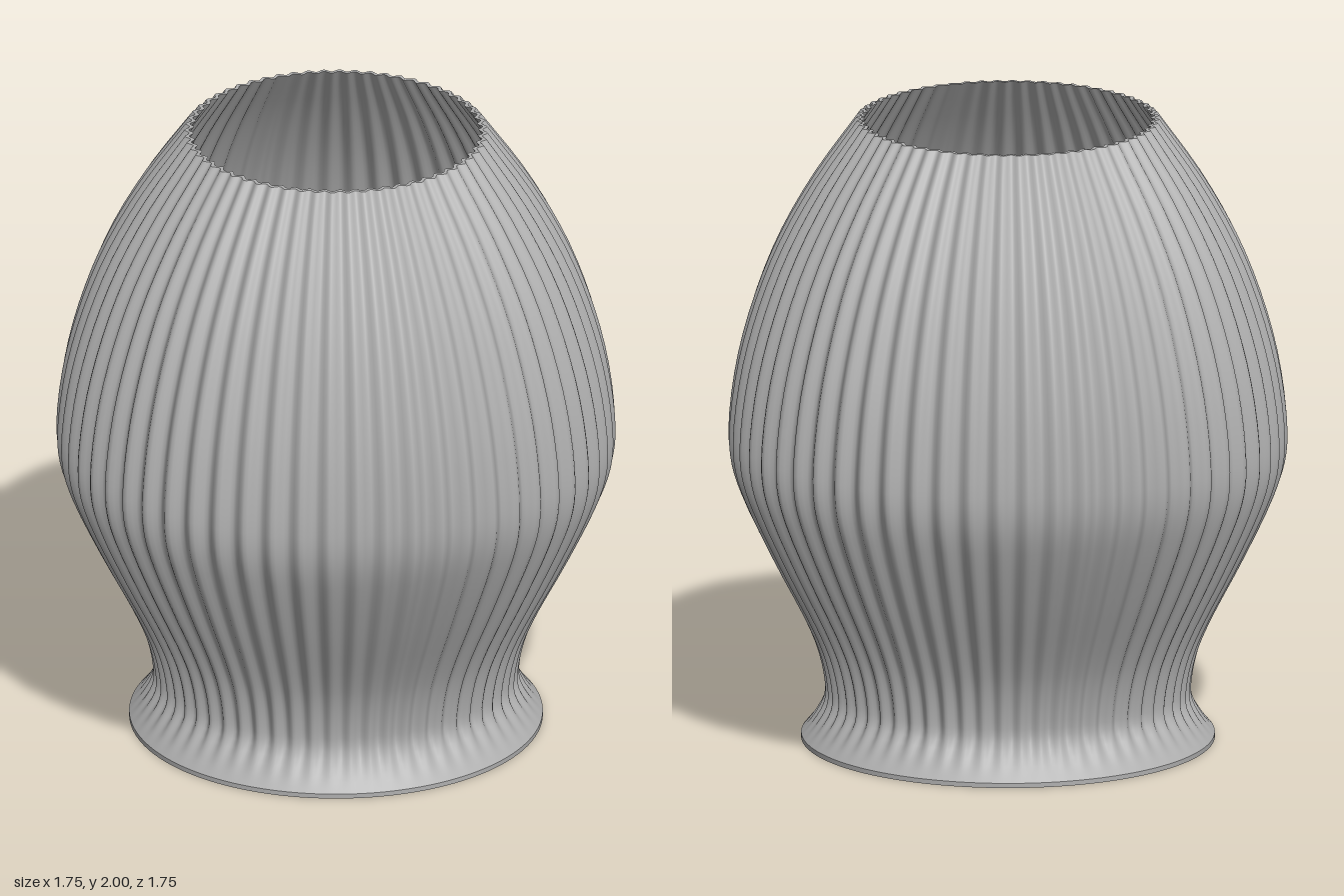
import * as THREE from 'three';

const RIBS = 60, PER_RIB = 8, SEG = RIBS * PER_RIB, ROWS = 44;

// Crest radius against height, from the flared foot to the open top
const OUTER = [[0.648, 0.015], [0.612, 0.06], [0.576, 0.13], [0.577, 0.2], [0.6, 0.3], [0.642, 0.4],
  [0.745, 0.6], [0.838, 0.8], [0.869, 0.9], [0.876, 1], [0.853, 1.2], [0.802, 1.4], [0.725, 1.6],
  [0.615, 1.8], [0.475, 2]];
const INNER = OUTER.map(([r, y]) => [r - 0.014, y]);
INNER.splice(0, 3, [0.53, 0], [0.541, 0.06], [0.555, 0.13]);

// Pleats fade out towards the foot
const ringPoint = (r, y, i) => {
  const a = (i / SEG) * Math.PI * 2;
  const depth = 0.016 * THREE.MathUtils.smoothstep(y, 0.01, 0.16);
  const rr = r * (1 - depth + depth * Math.cos(a * RIBS));
  return [rr * Math.sin(a), y, rr * Math.cos(a)];
};

// Joins [radius, height] rows into a closed fluted skin
function skin(rows, name, material) {
  const pos = [], index = [];
  rows.forEach(([r, y]) => {
    for (let i = 0; i < SEG; i++) pos.push(...ringPoint(r, y, i));
  });
  for (let j = 0; j < rows.length - 1; j++) {
    for (let i = 0; i < SEG; i++) {
      const a = j * SEG + i, b = j * SEG + (i + 1) % SEG;
      index.push(a, b, b + SEG, a, b + SEG, a + SEG);
    }
  }
  const g = new THREE.BufferGeometry();
  g.setAttribute('position', new THREE.Float32BufferAttribute(pos, 3));
  g.setIndex(index);
  g.computeVertexNormals();
  const mesh = new THREE.Mesh(g, material);
  mesh.name = name;
  return mesh;
}

const smoothRows = (points) =>
  new THREE.CatmullRomCurve3(points.map(([r, y]) => new THREE.Vector3(r, y, 0)))
    .getPoints(ROWS).map((p) => [p.x, p.y]);

export function createModel() {
  const grey = new THREE.MeshStandardMaterial({ color: 0xb0b0b0 });
  grey.name = 'plain grey';
  const group = new THREE.Group();
  group.name = 'pleatedShade';
  const outer = smoothRows(OUTER), inner = smoothRows(INNER);
  group.add(
    skin(outer, 'outerWall', grey),
    skin(inner.slice().reverse(), 'innerWall', grey),
    skin([[0.475, 2], [0.461, 2]], 'topRim', grey),
    skin([[0.648, 0], [0.648, 0.015]], 'footEdge', grey),
    skin([[0.53, 0], [0.648, 0]], 'footUnderside', grey),
  );
  return group;
}
